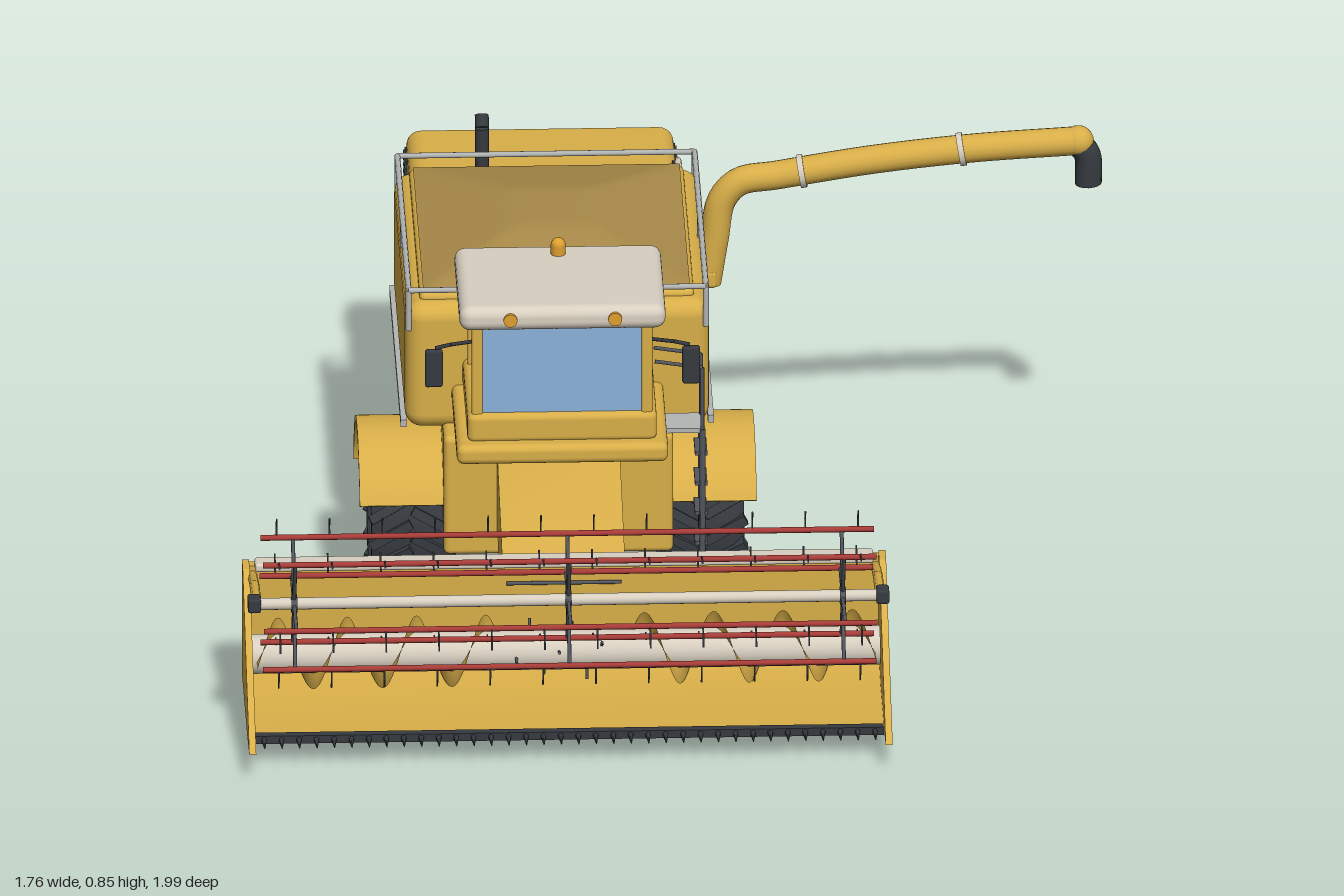
import * as THREE from 'three';
import { mergeGeometries, toCreasedNormals } from 'three/addons/utils/BufferGeometryUtils.js';
import { RoundedBoxGeometry } from 'three/addons/geometries/RoundedBoxGeometry.js';
import { ParametricGeometry } from 'three/addons/geometries/ParametricGeometry.js';

const mat = (name, color, side = THREE.FrontSide) => {
  const m = new THREE.MeshStandardMaterial({ color, side });
  m.name = name;
  return m;
};
const V = (x, y, z) => new THREE.Vector3(x, y, z);
const SIDES = [-1, 1];

export function createModel() {
  const gold = mat('gold paint', 0xd8ae48, THREE.DoubleSide);
  const ochre = mat('ochre cover', 0xa88a48, THREE.DoubleSide);
  const cream = mat('cream paint', 0xd8cfc0);
  const glass = mat('blue glass', 0x8ab2d8);
  const rubber = mat('black rubber', 0x363a40, THREE.DoubleSide);
  const steel = mat('dark steel', 0x53575e);
  const grey = mat('light grey metal', 0xb4b6b6);
  const red = mat('red paint', 0xa83c38);
  const amber = mat('amber lens', 0xe0a030);

  const model = new THREE.Group();
  // The machine is symmetrical about its own centreline; the side spout shifts it in x.
  const machine = new THREE.Group();
  machine.name = 'harvester';
  machine.position.x = -0.235;
  model.add(machine);

  const add = (name, geo, m, parent = machine) => {
    const mesh = new THREE.Mesh(geo, m);
    mesh.name = name;
    parent.add(mesh);
    return mesh;
  };
  // Boxes given by their limits
  const box = (x0, x1, y0, y1, z0, z1, r = 0) => {
    const s = [x1 - x0, y1 - y0, z1 - z0];
    const g = r ? new RoundedBoxGeometry(...s, 3, r) : new THREE.BoxGeometry(...s);
    return g.translate((x0 + x1) / 2, (y0 + y1) / 2, (z0 + z1) / 2);
  };
  const rod = (a, b, r, r2 = r, n = 8) => {
    const d = b.clone().sub(a);
    const q = new THREE.Quaternion().setFromUnitVectors(V(0, 1, 0), d.clone().normalize());
    const g = new THREE.CylinderGeometry(r2, r, d.length(), n).applyQuaternion(q);
    return g.translate(...a.clone().add(b).multiplyScalar(0.5).toArray());
  };
  const bar = (x0, x1, y, z, r, n = 16) => rod(V(x0, y, z), V(x1, y, z), r, r, n);
  const path = (pts, r) => mergeGeometries(pts.slice(1).map((p, i) => rod(pts[i], p, r)));
  // Side profile in (z, y), extruded across x
  const profile = (shape, x0, x1) => {
    const s = Array.isArray(shape) ? new THREE.Shape(shape.map(p => new THREE.Vector2(...p))) : shape;
    const g = new THREE.ExtrudeGeometry(s, { depth: x1 - x0, bevelEnabled: false, curveSegments: 28 });
    return toCreasedNormals(g.rotateY(-Math.PI / 2).translate(x1, 0, 0), 0.5);
  };

  // Body
  add('lower body', box(-0.23, 0.23, 0.165, 0.425, -0.565, 0.27, 0.012), gold);
  add('rear body', box(-0.23, 0.23, 0.248, 0.49, -0.91, -0.42, 0.022), gold);
  add('tail hood', box(-0.205, 0.205, 0.235, 0.432, -0.985, -0.85, 0.02), gold);
  add('engine hood', box(-0.268, 0.268, 0.483, 0.61, -0.825, -0.4, 0.03), gold);
  add('grain tank', box(-0.305, 0.305, 0.41, 0.685, -0.46, 0.205, 0.035), gold);
  add('tank rim', box(-0.275, 0.275, 0.67, 0.698, -0.435, 0.17, 0.012), gold);
  add('tail panel', box(-0.175, 0.175, 0.262, 0.31, -0.99, -0.98), rubber);
  for (const s of SIDES) {
    add('tail light', box(s * 0.185 - 0.015, s * 0.185 + 0.015, 0.335, 0.37, -0.995, -0.975), red);
    add('tank side trim', box(s * 0.308 - 0.006, s * 0.308 + 0.006, 0.416, 0.432, -0.45, 0.195), grey);
    // Side louvres
    add('louvre backing', box(s * 0.267 - 0.004, s * 0.267 + 0.004, 0.517, 0.575, -0.8, -0.72), rubber);
    for (let i = 0; i < 4; i++)
      add('louvre', box(s * 0.27 - 0.004, s * 0.27 + 0.004, 0.523 + i * 0.014, 0.528 + i * 0.014, -0.798, -0.722), steel);
  }

  // Tent-shaped tank cover
  const cover = new THREE.PlaneGeometry(0.535, 0.59, 24, 24).rotateX(-Math.PI / 2);
  const cp = cover.attributes.position;
  for (let i = 0; i < cp.count; i++) {
    const e = Math.min(1 - Math.abs(cp.getX(i)) / 0.2675, 1 - Math.abs(cp.getZ(i)) / 0.295);
    cp.setY(i, 0.7 + 0.045 * Math.min(1, e / 0.7));
  }
  cover.computeVertexNormals();
  add('tank cover', cover.translate(0, 0, -0.135), ochre);

  // Tank railing
  const corners = [[-0.298, 0.195], [0.298, 0.195], [0.298, -0.45], [-0.298, -0.45]];
  add('tank railing', path([...corners, corners[0]].map(([x, z]) => V(x, 0.717, z)), 0.006), grey);
  for (const [x, z] of [...corners, [-0.298, -0.13], [0.298, -0.13]])
    add('railing post', rod(V(x, 0.63, z), V(x, 0.717, z), 0.006), grey);

  // Radiator fan
  add('fan screen', bar(0.26, 0.274, 0.54, -0.635, 0.066, 28), rubber);
  add('fan ring', new THREE.TorusGeometry(0.066, 0.007, 8, 32).rotateY(Math.PI / 2).translate(0.272, 0.54, -0.635), cream);
  for (let i = 0; i < 12; i++) {
    const a = i * Math.PI / 6;
    add('fan spoke', rod(V(0.275, 0.54, -0.635), V(0.275, 0.54 + 0.064 * Math.sin(a), -0.635 + 0.064 * Math.cos(a)), 0.002, 0.002, 5), cream);
  }
  add('fan hub', bar(0.27, 0.281, 0.54, -0.635, 0.014), cream);
  add('exhaust pipe', path([V(-0.125, 0.59, -0.54), V(-0.125, 0.735, -0.54), V(-0.125, 0.757, -0.555)], 0.014), rubber);

  // Cab
  add('cab platform', box(-0.212, 0.212, 0.47, 0.512, 0.19, 0.505, 0.015), gold);
  add('cab base', box(-0.19, 0.19, 0.505, 0.57, 0.19, 0.477, 0.015), gold);
  add('cab glass', box(-0.17, 0.17, 0.56, 0.775, 0.215, 0.465), glass);
  for (const s of SIDES) for (const z of [0.222, 0.458])
    add('cab pillar', box(s * 0.17 - 0.011, s * 0.17 + 0.011, 0.56, 0.775, z - 0.011, z + 0.011, 0.005), gold);
  add('cab roof', box(-0.207, 0.207, 0.765, 0.817, 0.195, 0.51, 0.022), cream);
  add('beacon', new THREE.CapsuleGeometry(0.015, 0.025, 6, 14).translate(0, 0.824, 0.245), amber);
  for (const s of SIDES) {
    add('roof lamp', rod(V(s * 0.105, 0.793, 0.5), V(s * 0.105, 0.793, 0.514), 0.014, 0.014, 16), amber);
    add('mirror arm', path([V(s * 0.18, 0.72, 0.45), V(s * 0.225, 0.73, 0.485), V(s * 0.255, 0.725, 0.49)], 0.004), rubber);
    add('mirror', box(s * 0.258 - 0.018, s * 0.258 + 0.018, 0.64, 0.722, 0.482, 0.497, 0.006), rubber);
  }

  // Ladder, landing and handrail
  add('landing', box(0.2, 0.29, 0.472, 0.482, 0.29, 0.365), grey);
  for (const z of [0.297, 0.363]) {
    add('ladder rail', rod(V(0.285, 0.085, z), V(0.285, 0.48, z), 0.006), steel);
    add('handrail', path([V(0.285, 0.47, z), V(0.285, 0.615, z), V(0.19, 0.63, z)], 0.004), steel);
  }
  for (let i = 0; i < 6; i++) add('ladder step', box(0.27, 0.295, 0.092 + i * 0.066, 0.1 + i * 0.066, 0.295, 0.365), steel);

  // Unloading tube with bands and rubber spout
  const curve = new THREE.CatmullRomCurve3([[0.32, 0.465], [0.335, 0.56], [0.35, 0.645], [0.385, 0.684], [0.46, 0.697],
    [0.65, 0.728], [0.85, 0.75], [1.06, 0.763]].map(([x, y]) => V(x, y, -0.375)));
  add('unloading tube', new THREE.TubeGeometry(curve, 60, 0.029, 18), gold);
  add('unloading tube foot', box(0.28, 0.34, 0.46, 0.5, -0.405, -0.345, 0.01), gold);
  for (const [x, y] of [[0.51, 0.705], [0.83, 0.748]])
    add('tube band', rod(V(x - 0.006, y - 0.001, -0.375), V(x + 0.006, y + 0.001, -0.375), 0.034, 0.034, 20), cream);
  add('tube end', new THREE.SphereGeometry(0.031, 18, 12).translate(1.065, 0.763, -0.375), gold);
  const spout = new THREE.CatmullRomCurve3([V(1.06, 0.762, -0.375), V(1.082, 0.735, -0.375), V(1.085, 0.67, -0.375)]);
  add('spout', new THREE.TubeGeometry(spout, 14, 0.027, 16), rubber);
  add('tube bracket', box(0.3, 0.33, 0.54, 0.565, -0.385, -0.365), rubber);

  // Wheels, axles and fenders
  const wheel = (name, x, y, z, r, w, rim, lugs) => {
    const g = new THREE.Group();
    g.name = name;
    g.position.set(x, y, z);
    if (x < 0) g.rotation.y = Math.PI;
    machine.add(g);
    const h = w / 2, t = r * 0.935;
    const turn = pts => new THREE.LatheGeometry(pts.map(p => new THREE.Vector2(...p)), 40).rotateZ(-Math.PI / 2);
    add('tyre', toCreasedNormals(turn([[rim, -h * 0.75], [rim * 1.15, -h * 0.95], [t * 0.9, -h * 0.95], [t, -h * 0.7],
      [t, h * 0.7], [t * 0.9, h * 0.95], [rim * 1.15, h * 0.95], [rim, h * 0.75]]), 0.7), rubber, g);
    const treads = [];
    for (let i = 0; i < lugs * 2; i++) {
      const s = i % 2 ? 1 : -1;
      treads.push(new THREE.BoxGeometry(h * 1.1, r * 0.15, r * 0.11).rotateY(s * 0.5)
        .translate(s * h * 0.5, r * 0.92, 0).rotateX(i * Math.PI / lugs));
    }
    add('tread lugs', mergeGeometries(treads), rubber, g);
    add('rim', toCreasedNormals(turn([[0, -h * 0.6], [rim, -h * 0.75], [rim * 1.04, h * 0.85], [rim * 0.9, h * 0.88],
      [rim * 0.82, h * 0.5], [rim * 0.35, h * 0.55], [rim * 0.32, h * 0.8], [0, h * 0.8]]), 0.5), cream, g);
    for (let i = 0; i < 10; i++) {
      const a = i * Math.PI / 5, d = rim * 0.65;
      add('rim hole', bar(0, h * 0.56, d * Math.cos(a), d * Math.sin(a), rim * 0.1, 10), steel, g);
    }
    add('hub cap', bar(0, h * 0.88, 0, 0, rim * 0.18), grey, g);
  };
  for (const s of SIDES) {
    wheel('front wheel', s * 0.293, 0.176, 0.083, 0.176, 0.17, 0.105, 20);
    wheel('rear wheel', s * 0.225, 0.109, -0.688, 0.109, 0.1, 0.064, 16);
    const arch = new THREE.Shape();
    arch.absarc(0.083, 0.176, 0.197, 0.5, 2.95, false);
    arch.absarc(0.083, 0.176, 0.185, 2.95, 0.5, true);
    add('fender', profile(arch, s > 0 ? 0.22 : -0.398, s > 0 ? 0.398 : -0.22), gold);
  }
  add('front axle', bar(-0.28, 0.28, 0.176, 0.083, 0.025), steel);
  add('rear axle', bar(-0.21, 0.21, 0.109, -0.688, 0.02), rubber);
  add('rear axle post', box(-0.04, 0.04, 0.11, 0.26, -0.71, -0.662), rubber);

  // Feeder house
  add('feeder house', profile([[0.26, 0.22], [0.57, 0.125], [0.57, 0.28], [0.27, 0.388], [0.24, 0.388]], -0.123, 0.123), gold);

  // Header trough
  add('header trough', profile([[0.555, 0.045], [0.88, 0.045], [0.88, 0.055], [0.68, 0.058], [0.6, 0.075],
    [0.575, 0.12], [0.575, 0.29], [0.555, 0.29]], -0.635, 0.635), gold);
  add('header top beam', box(-0.62, 0.62, 0.282, 0.3, 0.552, 0.592, 0.006), cream);
  add('header grip', bar(-0.115, 0.115, 0.245, 0.58, 0.004, 8), steel);
  for (const s of SIDES) {
    const x = s * 0.638;
    add('header end plate', profile([[0.975, 0.058], [0.86, 0.045], [0.555, 0.045], [0.555, 0.295], [0.6, 0.295]], x - 0.007, x + 0.007), gold);
    add('reel arm', path([V(s * 0.625, 0.265, 0.56), V(s * 0.625, 0.305, 0.7), V(s * 0.625, 0.323, 0.83)], 0.01), gold);
    add('reel bearing', box(s * 0.63 - 0.013, s * 0.63 + 0.013, 0.308, 0.338, 0.81, 0.845, 0.005), rubber);
  }

  // Cutter bar
  add('knife bar', box(-0.63, 0.63, 0.043, 0.06, 0.875, 0.893), rubber);
  const teeth = [];
  for (let i = 0; i < 36; i++) {
    const x = -0.6125 + i * 0.035;
    teeth.push(rod(V(x, 0.052, 0.885), V(x, 0.052, 0.935), 0.007, 0.001, 6));
  }
  add('knife teeth', mergeGeometries(teeth), rubber);

  // Feed auger with opposed flights and centre fingers
  add('auger drum', bar(-0.63, 0.63, 0.137, 0.665, 0.04, 24), cream);
  for (const s of SIDES) add('auger flight', new ParametricGeometry((u, v, t) => {
    const a = u * Math.PI * 2 * 3.6, r = 0.036 + v * 0.036;
    t.set(s * (0.62 - 0.5 * u), 0.137 + r * Math.sin(a), 0.665 + r * Math.cos(a));
  }, 110, 1), gold);
  for (let i = 0; i < 8; i++) {
    const a = i * 2.2, x = -0.1 + i * 0.0286;
    add('auger finger', rod(V(x, 0.137, 0.665), V(x, 0.137 + 0.065 * Math.sin(a), 0.665 + 0.065 * Math.cos(a)), 0.003), steel);
  }

  // Reel: shaft, spiders, bats and bent tines
  const at = (x, r, a) => V(x, 0.323 + r * Math.sin(a), 0.83 - r * Math.cos(a));
  add('reel shaft', bar(-0.625, 0.625, 0.323, 0.83, 0.012), cream);
  const tines = [], arms = [];
  for (let i = 0; i < 6; i++) {
    const a = i * Math.PI / 3;
    const p = at(0, 0.133, a);
    add('reel bat', bar(-0.615, 0.615, p.y, p.z, 0.006, 10), red);
    for (const x of [-0.55, 0, 0.55]) arms.push(rod(at(x, 0, 0), at(x, 0.133, a), 0.004));
    for (let k = 0; k < 12; k++) {
      const x = -0.583 + k * 0.106;
      tines.push(path([at(x, 0.133, a), at(x, 0.155, a + 0.06), at(x, 0.17, a + 0.2)], 0.0018));
    }
  }
  add('reel spiders', mergeGeometries(arms), steel);
  add('reel tines', mergeGeometries(tines), steel);
  for (const x of [-0.55, 0, 0.55]) add('spider hub', bar(x - 0.006, x + 0.006, 0.323, 0.83, 0.018), steel);

  return model;
}
